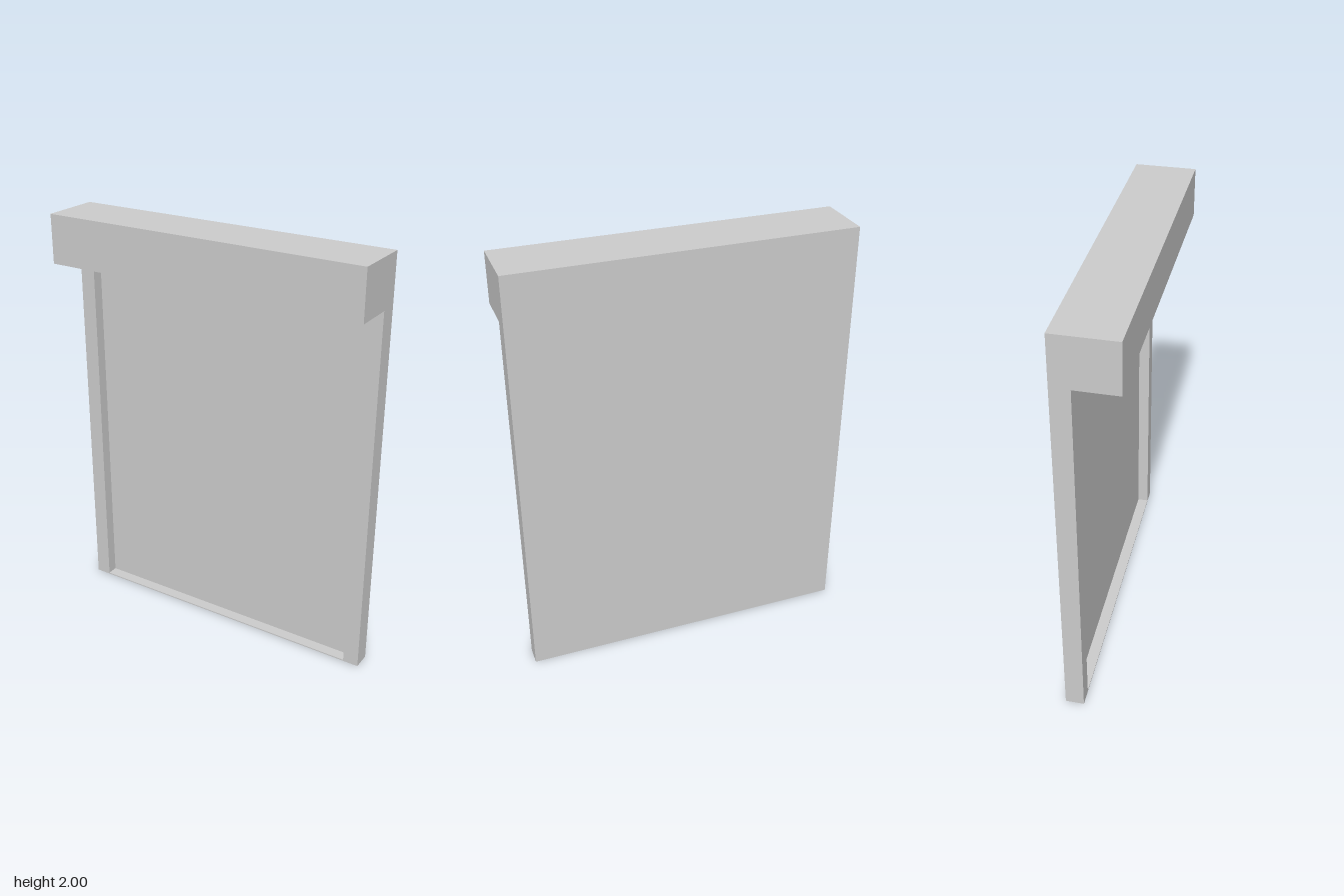
import * as THREE from 'three';

const WIDTH = 1.56, HEIGHT = 2, BACK = -0.14;
const HEADER_Y = 1.77, FRAME_FRONT = -0.053, PANEL_FRONT = -0.106;
const JAMB = 0.075, SILL = 0.006;

export function createModel() {
  const group = new THREE.Group();
  const material = new THREE.MeshStandardMaterial({ color: 0xcccccc, flatShading: true });

  // Box given by its minimum and maximum corners
  function box(name, x0, x1, y0, y1, z0, z1) {
    const mesh = new THREE.Mesh(new THREE.BoxGeometry(x1 - x0, y1 - y0, z1 - z0), material);
    mesh.position.set((x0 + x1) / 2, (y0 + y1) / 2, (z0 + z1) / 2);
    mesh.name = name;
    group.add(mesh);
  }

  const half = WIDTH / 2, inner = half - JAMB;

  // Deep housing across the top
  box('header', -half, half, HEADER_Y, HEIGHT, BACK, 0.14);

  // Side rails
  box('leftRail', inner, half, 0, HEADER_Y, BACK, FRAME_FRONT);
  box('rightRail', -half, -inner, 0, HEADER_Y, BACK, FRAME_FRONT);

  // Thin threshold and the recessed panel standing on it
  box('sill', -inner, inner, 0, SILL, BACK, FRAME_FRONT);
  box('panel', -inner, inner, SILL, HEADER_Y, BACK, PANEL_FRONT);

  return group;
}
